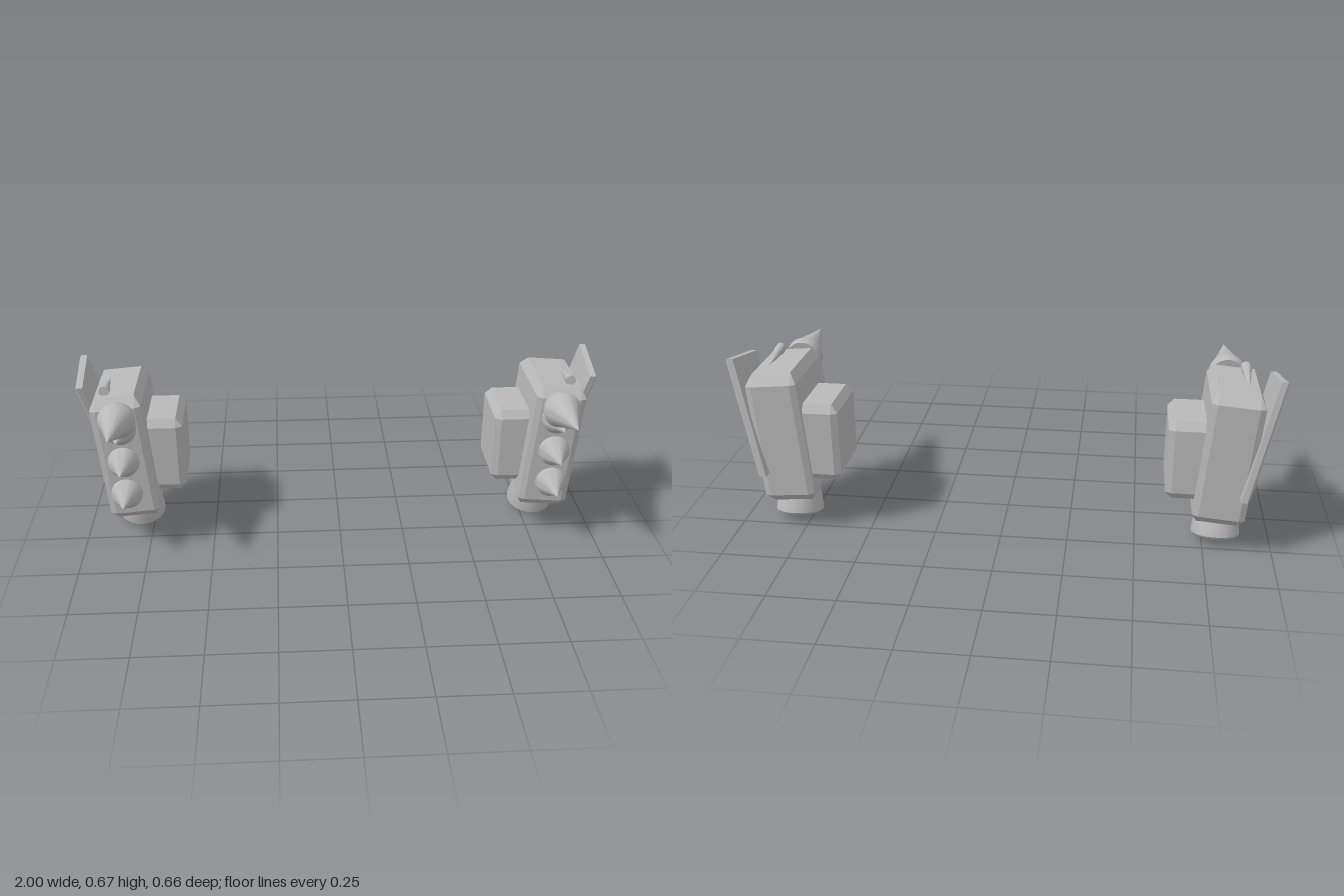
import * as THREE from 'three';
import { toCreasedNormals } from 'three/addons/utils/BufferGeometryUtils.js';
import { ConvexGeometry } from 'three/addons/geometries/ConvexGeometry.js';

const grey = new THREE.MeshStandardMaterial({ color: 0xb8b8b8 });
grey.name = 'grey';

const V = (x, y, z) => new THREE.Vector3(x, y, z);

function add(parent, name, geometry) {
  const mesh = new THREE.Mesh(geometry, grey);
  mesh.name = name;
  parent.add(mesh);
  return mesh;
}

// Box with chamfered edges; w, h, d are full sizes, sideZ is the narrow chamfer of the side faces
function chamferBox(w, h, d, cx, cy, cz, sideZ) {
  const pts = [];
  for (const x of [-1, 1]) for (const y of [-1, 1]) for (const z of [-1, 1]) {
    pts.push(
      V(x * w / 2, y * (h / 2 - cy), z * (d / 2 - sideZ)),
      V(x * (w / 2 - cx), y * h / 2, z * (d / 2 - cz)),
      V(x * (w / 2 - cx), y * (h / 2 - cy), z * d / 2)
    );
  }
  return new ConvexGeometry(pts);
}

// Turned part: profile of [radius, distance along axis], starting at base and pointing along dir
function turned(parent, name, profile, base, dir) {
  const lathe = new THREE.LatheGeometry(profile.map(([r, y]) => new THREE.Vector2(r, y)), 40);
  const mesh = add(parent, name, toCreasedNormals(lathe, 0.45));
  mesh.position.copy(base);
  mesh.quaternion.setFromUnitVectors(V(0, 1, 0), dir.normalize());
  return mesh;
}

const spikeProfile = [[0, 0], [0.062, 0], [0.057, 0.04], [0.053, 0.045], [0.026, 0.09], [0, 0.145]];
const hornProfile = [[0, 0], [0.064, 0], [0.069, 0.032], [0.066, 0.04], [0.054, 0.07], [0.026, 0.165], [0, 0.257]];
const missileProfile = [[0, 0], [0.032, 0], [0.032, 0.045], [0.029, 0.058], [0.023, 0.075],
  [0.021, 0.11], [0.015, 0.155], [0.008, 0.19], [0.007, 0.205], [0.012, 0.22], [0, 0.238]];
const nozzleProfile = [[0, 0], [0.083, 0], [0.09, 0.008], [0.089, 0.03], [0.076, 0.1], [0.064, 0.14], [0, 0.14]];

// One pod; s is +1 on the left (+x) and -1 on the right
function pod(s) {
  const g = new THREE.Group();
  g.name = s > 0 ? 'leftPod' : 'rightPod';

  // Leaning main body
  const body = add(g, 'body', chamferBox(0.19, 0.515, 0.342, 0.022, 0.038, 0.04, 0.01));
  body.position.set(s * 0.815, 0.366, -0.12);
  body.rotation.z = -s * 0.085;

  // Upright box on the inner side
  const box = add(g, 'innerBox', chamferBox(0.16, 0.305, 0.255, 0.024, 0.03, 0.024, 0.012));
  box.position.set(s * 0.68, 0.352, -0.138);

  // Slanted outer fin with a small bevel round its outer face
  const corners = [[-0.045, 0.632], [-0.265, 0.675], [-0.331, 0.238], [-0.115, 0.243]];
  const finX = y => 0.895 + (y - 0.238) * 0.24;
  const pts = [];
  for (const [z, y] of corners) {
    pts.push(V(s * (finX(y) - 0.03), y, z), V(s * (finX(y) - 0.008), y, z));
    const zi = z + (-0.19 - z) * 0.07, yi = y + (0.45 - y) * 0.04;
    pts.push(V(s * finX(yi), yi, zi));
  }
  add(g, 'fin', new ConvexGeometry(pts));

  // Missile sunk into the fin, and a smaller one lying on top
  turned(g, 'sideMissile', missileProfile, V(s * 0.9, 0.213, -0.154), V(s * 0.234, 1, 0));
  const small = turned(g, 'topMissile', missileProfile, V(s * 0.875, 0.634, -0.008), V(0, -0.12, -1));
  small.scale.set(0.6, 0.7, 0.6);

  // Front spikes
  for (const y of [0.233, 0.37, 0.508]) {
    turned(g, 'spike', spikeProfile, V(s * 0.82, y, 0.03), V(0, 0, 1));
  }

  // Large horn on a short neck
  const up = () => V(0, 0.134, 1);
  turned(g, 'hornNeck', [[0, 0], [0.04, 0], [0.04, 0.06], [0, 0.06]], V(s * 0.82, 0.545, 0.03), up());
  turned(g, 'horn', hornProfile, V(s * 0.82, 0.564, 0.078), up());

  // Bottom nozzle angled backwards
  turned(g, 'nozzle', nozzleProfile, V(s * 0.8, 0.022, -0.172), V(0, 0.97, 0.25));
  return g;
}

export function createModel() {
  const model = new THREE.Group();
  model.name = 'podPair';
  model.add(pod(1), pod(-1));
  return model;
}
